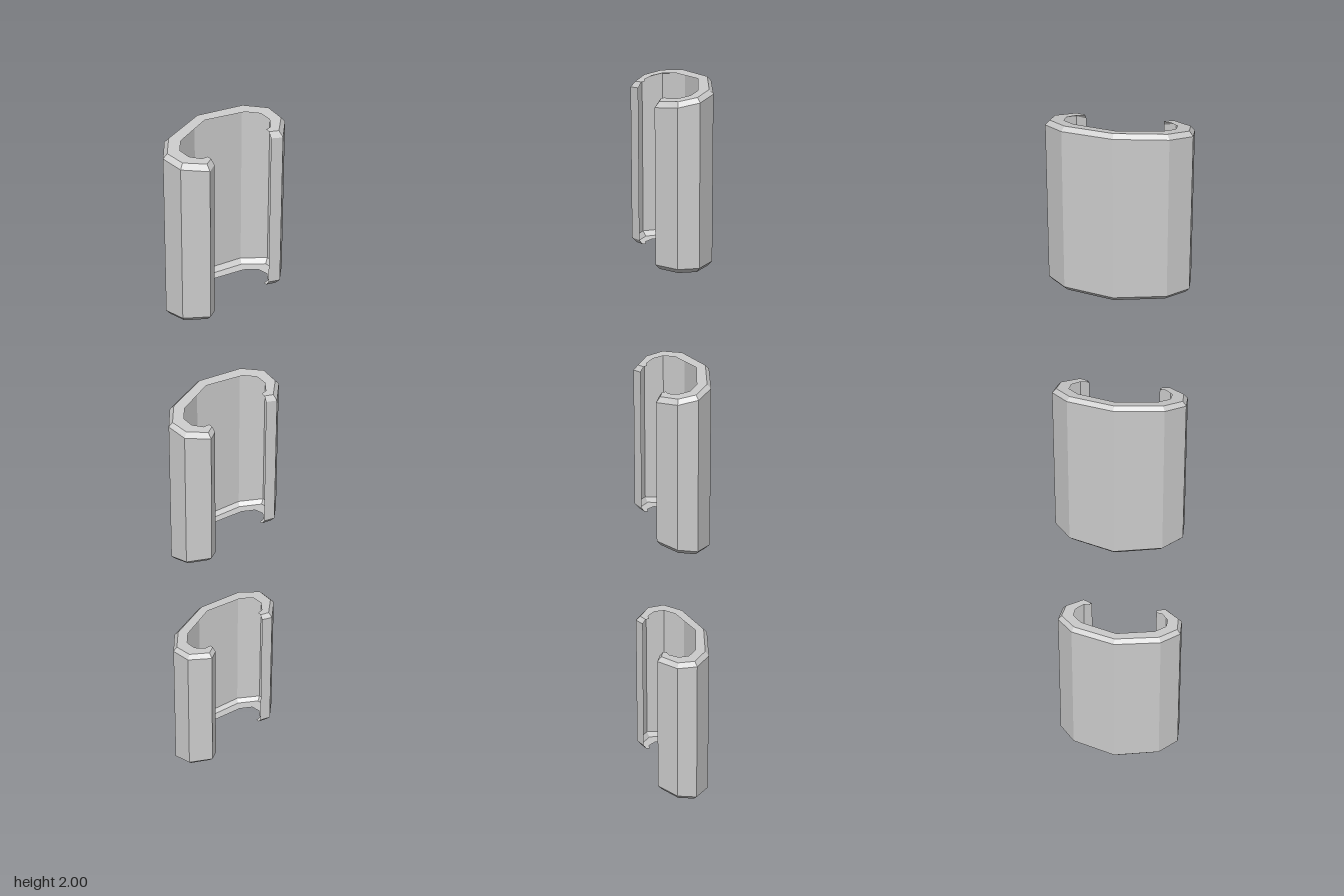
import * as THREE from 'three';

// Half cross-sections [x, z] from the curled tip to the middle of the back
const WALL = [[0.074, -0.094], [0.087, -0.121], [0.044, -0.173], [-0.01, -0.177], [-0.057, -0.128], [-0.088, 0]];
const BEVEL = [[0.065, -0.096], [0.075, -0.119], [0.04, -0.163], [-0.006, -0.167], [-0.048, -0.122], [-0.078, 0]];
const LIP = [[0.055, -0.097], [0.053, -0.114], [0.03, -0.134], [0.001, -0.134], [-0.025, -0.106], [-0.054, 0]];
const BEVEL_HEIGHT = 0.012;

// Mirror a half section across z = 0 into a full open C
function fullSection(half) {
  const mirrored = half.slice(0, -1).reverse().map(([x, z]) => [x, -z]);
  return [...half, ...mirrored];
}

// Open C sleeve with bevelled, inward-turned rims; the ends may slope along x
function sleeveGeometry(bottom, bottomSlope, top, topSlope) {
  const low = (x) => bottom + bottomSlope * (x + 0.078);
  const high = (x) => top + topSlope * (x + 0.078);
  const rows = [
    [LIP, low],
    [BEVEL, low],
    [WALL, (x) => low(x) + BEVEL_HEIGHT],
    [WALL, (x) => high(x) - BEVEL_HEIGHT],
    [BEVEL, high],
    [LIP, high],
  ];
  const positions = [];
  const index = [];
  const n = WALL.length * 2 - 1;
  rows.forEach(([half, height], r) => {
    for (const [x, z] of fullSection(half)) positions.push(x, height(x), z);
    if (r === 0) return;
    for (let i = 0; i < n - 1; i++) {
      const a = (r - 1) * n + i;
      const d = r * n + i;
      index.push(a, a + 1, d, a + 1, d + 1, d);
    }
  });
  const indexed = new THREE.BufferGeometry();
  indexed.setAttribute('position', new THREE.Float32BufferAttribute(positions, 3));
  indexed.setIndex(index);
  const geometry = indexed.toNonIndexed();
  geometry.computeVertexNormals();
  return geometry;
}

export function createModel() {
  const group = new THREE.Group();
  const material = new THREE.MeshStandardMaterial({
    color: 0xcccccc, flatShading: true, side: THREE.DoubleSide,
  });
  // name, bottom height and slope, top height and slope
  const sleeves = [
    ['lowerSleeve', 0, 0.18, 0.454, 0],
    ['middleSleeve', 0.765, 0.18, 1.242, -0.18],
    ['upperSleeve', 1.555, 0, 2, -0.18],
  ];
  for (const [name, ...ends] of sleeves) {
    const mesh = new THREE.Mesh(sleeveGeometry(...ends), material);
    mesh.name = name;
    group.add(mesh);
  }
  return group;
}
